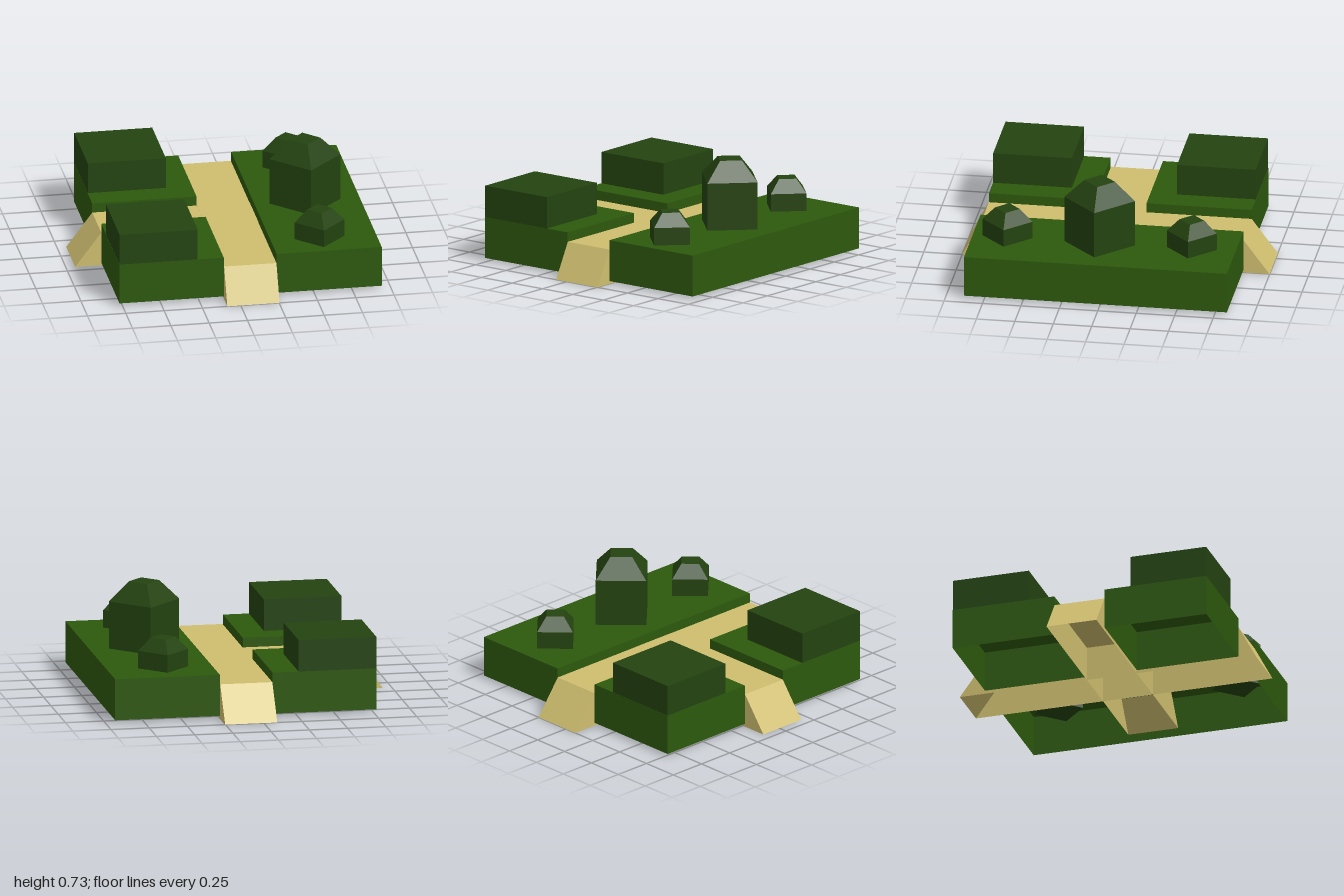
import * as THREE from 'three';

export function createModel() {
  const model = new THREE.Group();
  model.name = 'gardenPark';

  // Hollow shells are seen from inside too
  const material = (name, color) => {
    const m = new THREE.MeshStandardMaterial({ color, side: THREE.DoubleSide });
    m.name = name;
    return m;
  };
  const grass = material('grassGreen', 0x2d590d);
  const foliage = material('darkFoliage', 0x244310);
  const sand = material('sandPath', 0xcfbe6f);

  const add = (name, geometry, mat) => {
    const mesh = new THREE.Mesh(geometry, mat);
    mesh.name = name;
    model.add(mesh);
  };

  // Box given by its limits; open removes the bottom face
  const box = (x0, x1, y0, y1, z0, z1, open) => {
    const g = new THREE.BoxGeometry(x1 - x0, y1 - y0, z1 - z0);
    g.translate((x0 + x1) / 2, (y0 + y1) / 2, (z0 + z1) / 2);
    if (open) {
      const index = Array.from(g.index.array);
      index.splice(18, 6);
      g.setIndex(index);
      g.clearGroups();
    }
    return g;
  };

  // Raised lawns, open underneath
  add('eastLawn', box(0.255, 0.94, 0.02, 0.29, -0.83, 0.88, true), grass);
  add('northWestLawn', box(-0.77, -0.09, 0.02, 0.29, -0.83, -0.145, true), grass);
  add('southWestLawn', box(-0.77, -0.09, 0.02, 0.29, 0.195, 0.88, true), grass);

  // Square hedges in the outer corners
  add('northHedge', box(-0.769, -0.26, 0.28, 0.497, -0.829, -0.317, false), foliage);
  add('southHedge', box(-0.769, -0.26, 0.28, 0.497, 0.367, 0.879, false), foliage);

  // Paths: open boxes whose top ends are drawn in to form ramps
  const path = (axis, topStart, topEnd, limits) => {
    const g = box(...limits, true);
    const p = g.attributes.position;
    const middle = (topStart + topEnd) / 2;
    for (let i = 0; i < p.count; i++) {
      if (p.getY(i) < 0.1) continue;
      p.setComponent(i, axis, p.getComponent(i, axis) < middle ? topStart : topEnd);
    }
    g.computeVertexNormals();
    return g;
  };
  add('mainPath', path(2, -0.83, 0.88, [-0.088, 0.253, 0, 0.228, -1, 1]), sand);
  add('sidePath', path(0, -0.77, 0.615, [-0.94, 0.787, 0, 0.2275, -0.143, 0.193]), sand);

  // Four-sided bushes with bevelled tops, rooted below the lawn
  const bush = (name, x, z, radius, topRadius, bottom, rim, top) => {
    const profile = [[0, bottom], [radius, bottom], [radius, rim], [topRadius, top], [0, top]]
      .map(([r, y]) => new THREE.Vector2(r, y));
    const g = new THREE.LatheGeometry(profile, 4).toNonIndexed();
    g.computeVertexNormals();
    g.translate(x, 0, z);
    add(name, g, foliage);
  };
  bush('largeBush', 0.583, 0.053, 0.23, 0.1, 0.19, 0.6, 0.727);
  for (const [name, z] of [['northBush', -0.545], ['southBush', 0.655]]) {
    bush(name, 0.573, z, 0.163, 0.08, 0.13, 0.405, 0.49);
  }

  return model;
}
